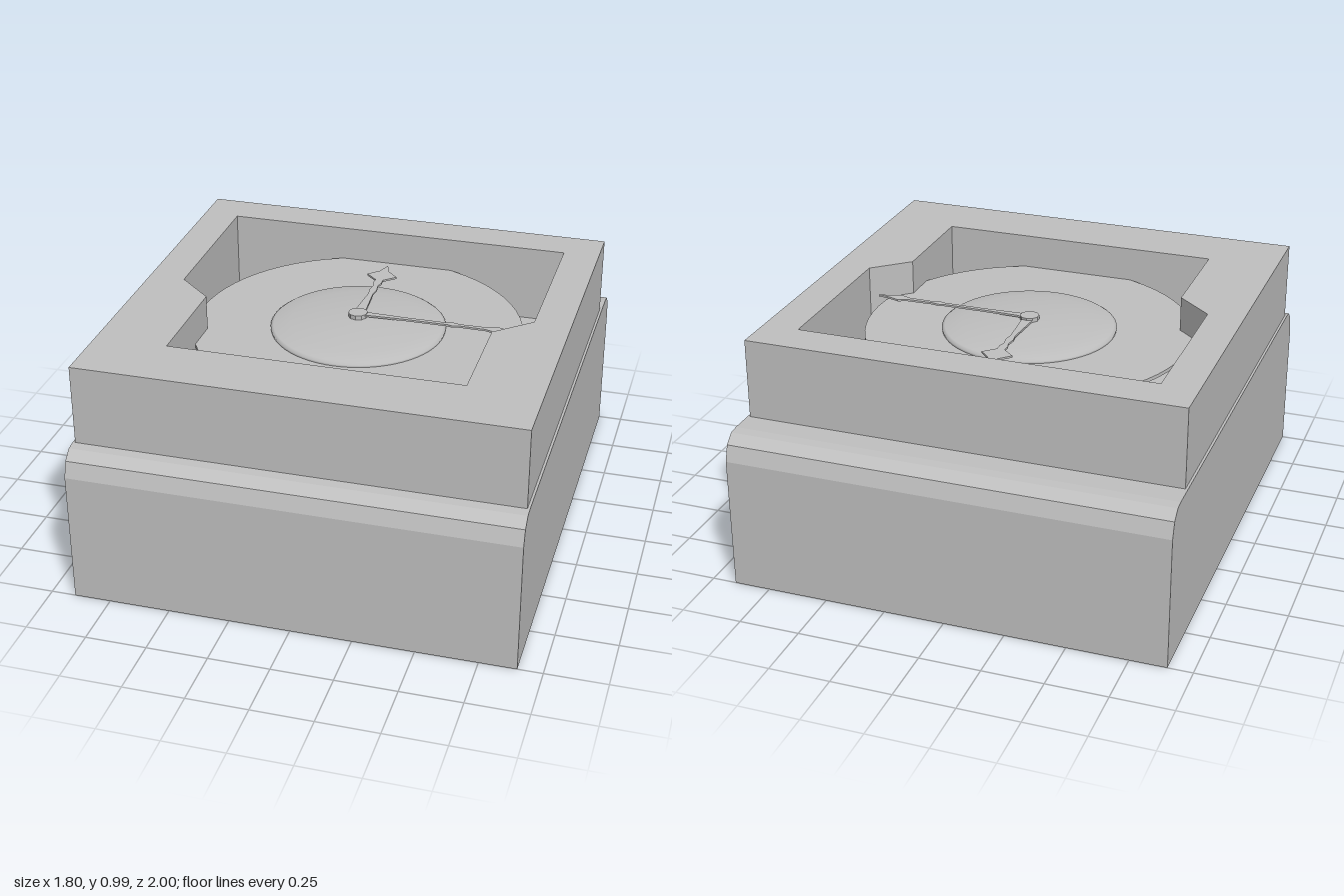
import * as THREE from 'three';

export function createModel() {
  const model = new THREE.Group();
  const gray = new THREE.MeshStandardMaterial({ color: 0xc0c0c0 });
  gray.name = 'plainGray';
  gray.side = THREE.DoubleSide;
  gray.flatShading = true;
  const smoothGray = gray.clone();
  smoothGray.flatShading = false;

  const add = (name, geometry, material = gray, parent = model) => {
    const mesh = new THREE.Mesh(geometry, material);
    mesh.name = name;
    parent.add(mesh);
    return mesh;
  };
  const toShape = (pts) => new THREE.Shape(pts.map(([x, y]) => new THREE.Vector2(x, y)));

  // Lower housing: a thin shell, open underneath, rounded front and back
  const half = [[1, 0], [1, 0.55], [0.98, 0.615], [0.94, 0.65], [0.9, 0.655]];
  const profile = [...half, ...half.map(([z, y]) => [-z, y]).reverse()];
  const W = 0.9;
  const strip = [];
  for (let i = 0; i < profile.length - 1; i++) {
    const [z0, y0] = profile[i], [z1, y1] = profile[i + 1];
    strip.push(-W, y0, z0, W, y0, z0, W, y1, z1, -W, y0, z0, W, y1, z1, -W, y1, z1);
  }
  const shell = new THREE.BufferGeometry();
  shell.setAttribute('position', new THREE.Float32BufferAttribute(strip, 3));
  shell.computeVertexNormals();
  add('housingShell', shell);
  for (const side of [-1, 1]) {
    const cap = new THREE.ShapeGeometry(toShape(profile));
    cap.rotateY(side * Math.PI / 2);
    cap.translate(side * W, 0, 0);
    add(side > 0 ? 'housingLeftSide' : 'housingRightSide', cap);
  }

  // Upper frame with a stepped opening; shape y becomes -z
  const frame = toShape([[-0.89, -0.9], [0.89, -0.9], [0.89, 0.8], [-0.89, 0.8]]);
  const rightEdge = [[0.595, -0.635], [0.595, -0.18], [0.74, -0.05], [0.74, 0.635]];
  frame.holes.push(toShape([...rightEdge, ...rightEdge.map(([x, y]) => [-x, y]).reverse()]));
  const frameGeo = new THREE.ExtrudeGeometry(frame, { depth: 0.33, bevelEnabled: false });
  frameGeo.rotateX(-Math.PI / 2);
  frameGeo.translate(0, 0.655, 0);
  add('upperFrame', frameGeo);

  // Dial plate and its raised centre
  const dial = new THREE.CylinderGeometry(0.68, 0.68, 0.015, 64);
  dial.translate(0, 0.8325, 0);
  add('dialPlate', dial);
  const domeProfile = [[0.36, 0.84], [0.362, 0.85], [0.35, 0.858], [0.28, 0.868],
    [0.18, 0.877], [0.08, 0.882], [0, 0.883]];
  add('dialDome', new THREE.LatheGeometry(
    domeProfile.map(([r, y]) => new THREE.Vector2(r, y)), 64), smoothGray);

  // Hands: mirrored outlines given as distance from the pivot and half width
  const hands = new THREE.Group();
  hands.name = 'hands';
  hands.position.set(-0.005, 0.884, -0.012);
  model.add(hands);
  const makeHand = (name, outline, angle, y) => {
    const pts = [...outline.map(([d, w]) => [d, -w]), ...outline.map(([d, w]) => [d, w]).reverse()];
    const geo = new THREE.ExtrudeGeometry(toShape(pts), { depth: 0.008, bevelEnabled: false });
    geo.rotateX(-Math.PI / 2);
    geo.rotateY(angle);
    geo.translate(0, y, 0);
    add(name, geo, gray, hands);
  };
  makeHand('hourHand', [[0, 0.03], [0.04, 0.022], [0.2, 0.01], [0.24, 0.016], [0.28, 0.01],
    [0.31, 0.018], [0.34, 0.016], [0.385, 0.065], [0.43, 0.02], [0.485, 0.001]], Math.PI / 2, 0);
  makeHand('minuteHand', [[0, 0.024], [0.05, 0.014], [0.2, 0.009], [0.38, 0.009], [0.4, 0.015],
    [0.43, 0.008], [0.54, 0.01], [0.58, 0.025], [0.63, 0.009], [0.675, 0.001]], 0, 0.006);
  const hub = new THREE.CylinderGeometry(0.04, 0.04, 0.018, 10);
  hub.translate(0, 0.008, 0);
  add('handHub', hub, gray, hands);

  return model;
}
